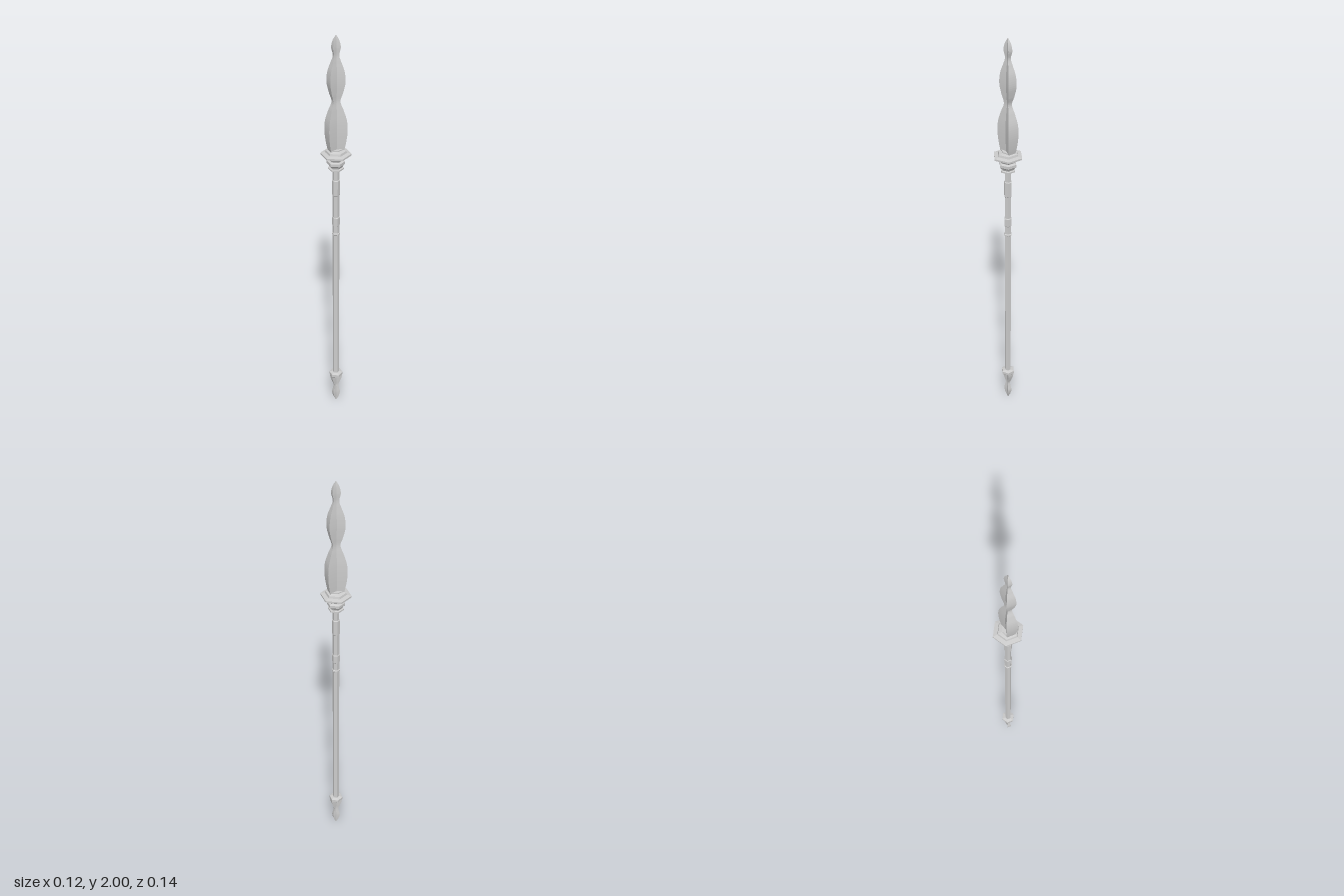
import * as THREE from 'three';

const material = new THREE.MeshStandardMaterial({ color: 0xcccccc, flatShading: true });

// Lofts six-sided rings [y, radius, pinch]; pinch scales the two corners lying on the z axis.
function loftHex(name, rings) {
  const positions = [], index = [];
  for (const [y, r, pinch = 1] of rings) {
    for (let i = 0; i < 6; i++) {
      const a = (i * Math.PI) / 3;
      const k = i % 3 === 0 ? pinch : 1;
      positions.push(Math.sin(a) * r * k, y, Math.cos(a) * r * k);
    }
  }
  for (let j = 0; j < rings.length - 1; j++) {
    for (let i = 0; i < 6; i++) {
      const a = j * 6 + i, b = j * 6 + ((i + 1) % 6);
      index.push(a, b, b + 6, a, b + 6, a + 6);
    }
  }
  // End caps fan out from a centre point so that pinched ends stay valid
  const bottom = positions.length / 3, top = bottom + 1, last = (rings.length - 1) * 6;
  positions.push(0, rings[0][0], 0, 0, rings[rings.length - 1][0], 0);
  for (let i = 0; i < 6; i++) {
    const n = (i + 1) % 6;
    index.push(bottom, n, i, top, last + i, last + n);
  }
  const geometry = new THREE.BufferGeometry();
  geometry.setAttribute('position', new THREE.Float32BufferAttribute(positions, 3));
  geometry.setIndex(index);
  geometry.computeVertexNormals();
  const mesh = new THREE.Mesh(geometry, material);
  mesh.name = name;
  return mesh;
}

// Smooth rings through a few [y, half width in x] points, grooved along the middle
function bladeRings(points, steps, pinch) {
  const curve = new THREE.CatmullRomCurve3(points.map(([y, w]) => new THREE.Vector3(w, y, 0)));
  return curve.getPoints(steps).map((p) => [p.y, Math.max(p.x, 0.001) / Math.sin(Math.PI / 3), pinch]);
}

export function createModel() {
  const group = new THREE.Group();

  // Leaf-shaped head: two swellings and a small tip
  group.add(loftHex('blade', bladeRings([
    [1.455, 0.03], [1.5, 0.039], [1.56, 0.045], [1.61, 0.042], [1.66, 0.029], [1.7, 0.017],
    [1.74, 0.027], [1.79, 0.036], [1.84, 0.032], [1.88, 0.02], [1.91, 0.012],
    [1.945, 0.018], [1.975, 0.013], [2, 0.001],
  ], 64, 0.25)));

  // Flared guard beneath the head
  group.add(loftHex('guard', [
    [1.415, 0.03], [1.425, 0.04], [1.438, 0.045], [1.441, 0.071],
    [1.449, 0.071], [1.453, 0.05], [1.463, 0.047], [1.467, 0.034, 0.8], [1.472, 0.034, 0.8],
  ]));

  // Stepped collar joining guard and shaft
  group.add(loftHex('collar', [
    [1.366, 0.016], [1.37, 0.036], [1.377, 0.036], [1.379, 0.028], [1.388, 0.033],
    [1.397, 0.042], [1.41, 0.042], [1.415, 0.032], [1.42, 0.03],
  ]));

  // Shaft
  group.add(loftHex('shaft', [[0.18, 0.016], [1.03, 0.016], [1.37, 0.015]]));

  // Bands around the grip: [bottom, top, radius]
  const bands = [[1.235, 1.315, 0.019], [1.075, 1.12, 0.019], [1.022, 1.034, 0.02]];
  for (const [low, high, r] of bands) {
    group.add(loftHex('gripBand', [[low, 0.016], [low + 0.003, r], [high - 0.003, r], [high, 0.016]]));
  }

  // Lower collar
  group.add(loftHex('lowerCollar', [
    [0.168, 0.028], [0.174, 0.034], [0.188, 0.034], [0.193, 0.018],
  ]));

  // Pointed butt spike, shaped like a small blade
  group.add(loftHex('buttSpike', bladeRings([
    [0, 0.001], [0.025, 0.012], [0.055, 0.018], [0.085, 0.013], [0.105, 0.011],
    [0.13, 0.019], [0.155, 0.026], [0.178, 0.028],
  ], 30, 0.25)));

  return group;
}
